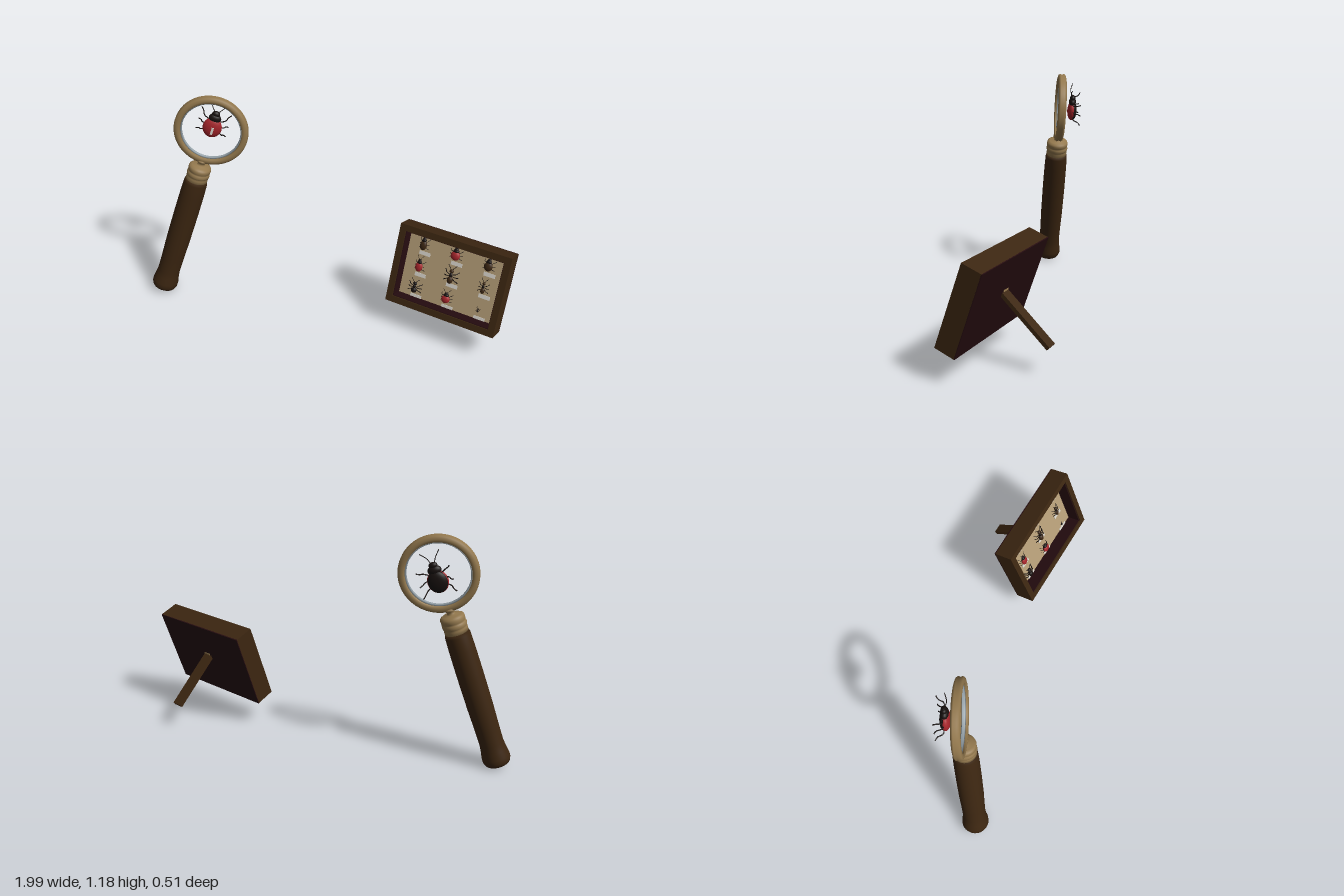
import * as THREE from 'three';

const mat = (name, color) => {
  const m = new THREE.MeshStandardMaterial({ color });
  m.name = name;
  return m;
};

export function createModel() {
  const wood = mat('dark wood', 0x3c2611);
  const brass = mat('aged brass', 0x94794e);
  const maroon = mat('maroon backing', 0x260c10);
  const tan = mat('tan board', 0xb39c76);
  const red = mat('red shell', 0xa3242a);
  const black = mat('black chitin', 0x17100e);
  const brown = mat('brown shell', 0x3a2512);
  const paper = mat('paper label', 0xd9d5cc);
  const rimGrey = mat('lens rim grey', 0x97a3aa);

  const add = (parent, name, geo, m, x = 0, y = 0, z = 0) => {
    const mesh = new THREE.Mesh(geo, m);
    mesh.name = name;
    mesh.position.set(x, y, z);
    parent.add(mesh);
    return mesh;
  };
  const group = (parent, name) => {
    const g = new THREE.Group();
    g.name = name;
    parent.add(g);
    return g;
  };
  const box = (w, h, d) => new THREE.BoxGeometry(w, h, d);
  const lathe = (pts, n = 40) => new THREE.LatheGeometry(pts.map(p => new THREE.Vector2(...p)), n);
  const blob = (parent, name, m, size, pos) =>
    add(parent, name, new THREE.SphereGeometry(1, 18, 12), m, ...pos).scale.set(...size);
  const wire = (parent, name, pts, r) => add(parent, name, new THREE.TubeGeometry(
    new THREE.CatmullRomCurve3(pts.map(p => new THREE.Vector3(...p))), 8, r, 5), black);

  // Six legs and two antennae; head along +y, back towards +z
  const limbs = (bug, w, l, drop, r) => {
    for (const s of [-1, 1]) {
      [[0.62, 0.95, 1.35], [0.25, 0.2, 0.1], [-0.15, -0.55, -0.95]].forEach(([a, b, c]) =>
        wire(bug, 'leg', [[s * w * 0.4, a * l, -drop * 0.2], [s * w * 1.1, b * l, -drop * 0.15],
          [s * w * 1.35, (b + c) / 2 * l, -drop * 0.8], [s * w * 1.6, c * l, -drop]], r));
      wire(bug, 'antenna', [[s * w * 0.15, l * 1.55, 0], [s * w * 0.4, l * 2, drop * 0.3],
        [s * w * 0.95, l * 2.6, drop * 0.1]], r * 0.7);
    }
  };

  // Beetle with domed wing cases, belly, pronotum and head
  const beetle = (parent, name, shell, w, l, t) => {
    const bug = group(parent, name);
    blob(bug, 'wingCases', shell, [w, l, t], [0, 0, 0]);
    blob(bug, 'belly', black, [w * 0.93, l * 0.95, t * 0.8], [0, 0, -t * 0.32]);
    blob(bug, 'pronotum', black, [w * 0.66, l * 0.42, t * 0.8], [0, l * 1.0, 0]);
    blob(bug, 'head', black, [w * 0.42, l * 0.3, t * 0.6], [0, l * 1.42, 0]);
    limbs(bug, w, l, t * 1.8, w * 0.06);
    return bug;
  };

  // Slim ant with three body segments
  const ant = (parent, name, m, w, l) => {
    const bug = group(parent, name);
    blob(bug, 'abdomen', m, [w * 0.62, l * 0.75, w * 0.5], [0, -l * 0.5, 0]);
    blob(bug, 'thorax', black, [w * 0.36, l * 0.5, w * 0.36], [0, l * 0.55, 0]);
    blob(bug, 'head', m, [w * 0.46, l * 0.38, w * 0.36], [0, l * 1.3, 0]);
    limbs(bug, w, l, w * 0.6, w * 0.09);
    return bug;
  };

  const model = new THREE.Group();

  // ---- Magnifying glass: y along the handle, z through the lens ----
  const glass = group(model, 'magnifyingGlass');
  const yAxis = new THREE.Vector3(0.32, 0.97, -0.10).normalize();
  const xAxis = yAxis.clone().cross(new THREE.Vector3(0.16, 0.05, 1)).normalize();
  const zAxis = xAxis.clone().cross(yAxis);
  glass.quaternion.setFromRotationMatrix(new THREE.Matrix4().makeBasis(xAxis, yAxis, zAxis));
  glass.position.set(-0.93, 0.03, -0.03);
  const lensY = 1.026;

  add(glass, 'handle', lathe([[0, -0.008], [0.05, -0.008], [0.063, 0], [0.07, 0.018], [0.07, 0.04],
    [0.064, 0.075], [0.06, 0.115], [0.061, 0.2], [0.064, 0.32], [0.065, 0.5], [0.064, 0.64],
    [0.062, 0.71], [0.057, 0.728], [0, 0.728]]), wood);
  add(glass, 'collar', lathe([[0, 0.715], [0.057, 0.715], [0.058, 0.745], [0.055, 0.75], [0.059, 0.754],
    [0.061, 0.765], [0.059, 0.776], [0.055, 0.779], [0.059, 0.784], [0.06, 0.797], [0.057, 0.808],
    [0.045, 0.815], [0.022, 0.818], [0.019, 0.824], [0.018, 0.832], [0.026, 0.838], [0.026, 0.846],
    [0.018, 0.852], [0, 0.852]]), brass);
  add(glass, 'lensRing', lathe([[0.157, -0.016], [0.161, -0.021], [0.172, -0.023], [0.185, -0.019],
    [0.191, -0.01], [0.186, 0], [0.191, 0.01], [0.185, 0.019], [0.172, 0.023], [0.161, 0.021],
    [0.157, 0.016], [0.157, -0.016]], 64), brass, 0, lensY).rotation.x = Math.PI / 2;
  add(glass, 'lensRim', lathe([[0.15, -0.007], [0.158, -0.011], [0.158, 0.011], [0.15, 0.007],
    [0.15, -0.007]], 64), rimGrey, 0, lensY).rotation.x = Math.PI / 2;
  add(glass, 'lensGlint', box(0.012, 0.04, 0.003), paper, 0.004, lensY - 0.01, -0.015);
  beetle(glass, 'largeBeetle', red, 0.05, 0.056, 0.025).position.set(0, lensY - 0.014, -0.066);

  // ---- Display case: yawed group, with the box leaning back inside it ----
  const display = group(model, 'displayCase');
  display.position.set(0.667, 0.355, 0.033);
  display.rotation.y = -20 * Math.PI / 180;
  const tray = group(display, 'tray');
  tray.rotation.x = -19.5 * Math.PI / 180;
  const W = 0.607, H = 0.434, D = 0.108, T = 0.034;
  const iw = W - 2 * T, ih = H - 2 * T;

  const rect = (Kind, w, h) => new Kind([[-w, -h], [w, -h], [w, h], [-w, h]]
    .map(([x, y]) => new THREE.Vector2(x / 2, y / 2)));
  const outline = rect(THREE.Shape, W, H);
  outline.holes.push(rect(THREE.Path, iw, ih));
  add(tray, 'frame', new THREE.ExtrudeGeometry(outline, { depth: D - 0.004, bevelEnabled: false }),
    wood, 0, 0, -D / 2 + 0.004);
  add(tray, 'backPanel', box(W, H, 0.006), maroon, 0, 0, -D / 2 + 0.003);
  const boardZ = -0.026;
  add(tray, 'board', box(iw, ih, 0.02), tan, 0, 0, boardZ - 0.01);

  // Dark lining on the inner walls
  for (const s of [-1, 1]) {
    add(tray, 'sideLining', box(0.004, ih, 0.072), maroon, s * (iw / 2 - 0.002), 0, 0.01);
    add(tray, 'endLining', box(iw, 0.004, 0.072), maroon, 0, s * (ih / 2 - 0.002), 0.01);
  }

  // Specimens in three rows with paper labels
  const kinds = [
    [p => beetle(p, 'brownBeetle', brown, 0.019, 0.027, 0.012),
      p => beetle(p, 'redBeetle', red, 0.025, 0.025, 0.014),
      p => beetle(p, 'brownBeetle', brown, 0.022, 0.025, 0.012)],
    [p => beetle(p, 'redBug', red, 0.02, 0.026, 0.012),
      p => ant(p, 'longAnt', brown, 0.025, 0.027),
      p => ant(p, 'paleAnt', brown, 0.018, 0.022)],
    [p => ant(p, 'blackAnt', black, 0.024, 0.021),
      p => beetle(p, 'redBeetle', red, 0.023, 0.022, 0.013),
      p => ant(p, 'tinyAnt', black, 0.007, 0.008)],
  ];
  kinds.forEach((row, r) => row.forEach((make, c) => {
    const x = (c - 1) * 0.18, y = (1 - r) * 0.122;
    make(tray).position.set(x, y - 0.004, boardZ + 0.018);
    add(tray, 'label', box(0.062, 0.02, 0.003), paper, x + 0.012, y - 0.051, boardZ + 0.002);
  }));

  // Prop leg behind the case
  const top = new THREE.Vector3(0, 0.012, -0.04), foot = new THREE.Vector3(0, -0.215, -0.29);
  const leg = add(display, 'propLeg', box(0.055, top.distanceTo(foot), 0.02), wood);
  leg.position.copy(top).add(foot).multiplyScalar(0.5);
  leg.rotation.x = Math.atan2(top.z - foot.z, top.y - foot.y);
  add(display, 'hinge', box(0.04, 0.008, 0.02), brass, 0, 0.014, -0.056);

  return model;
}
